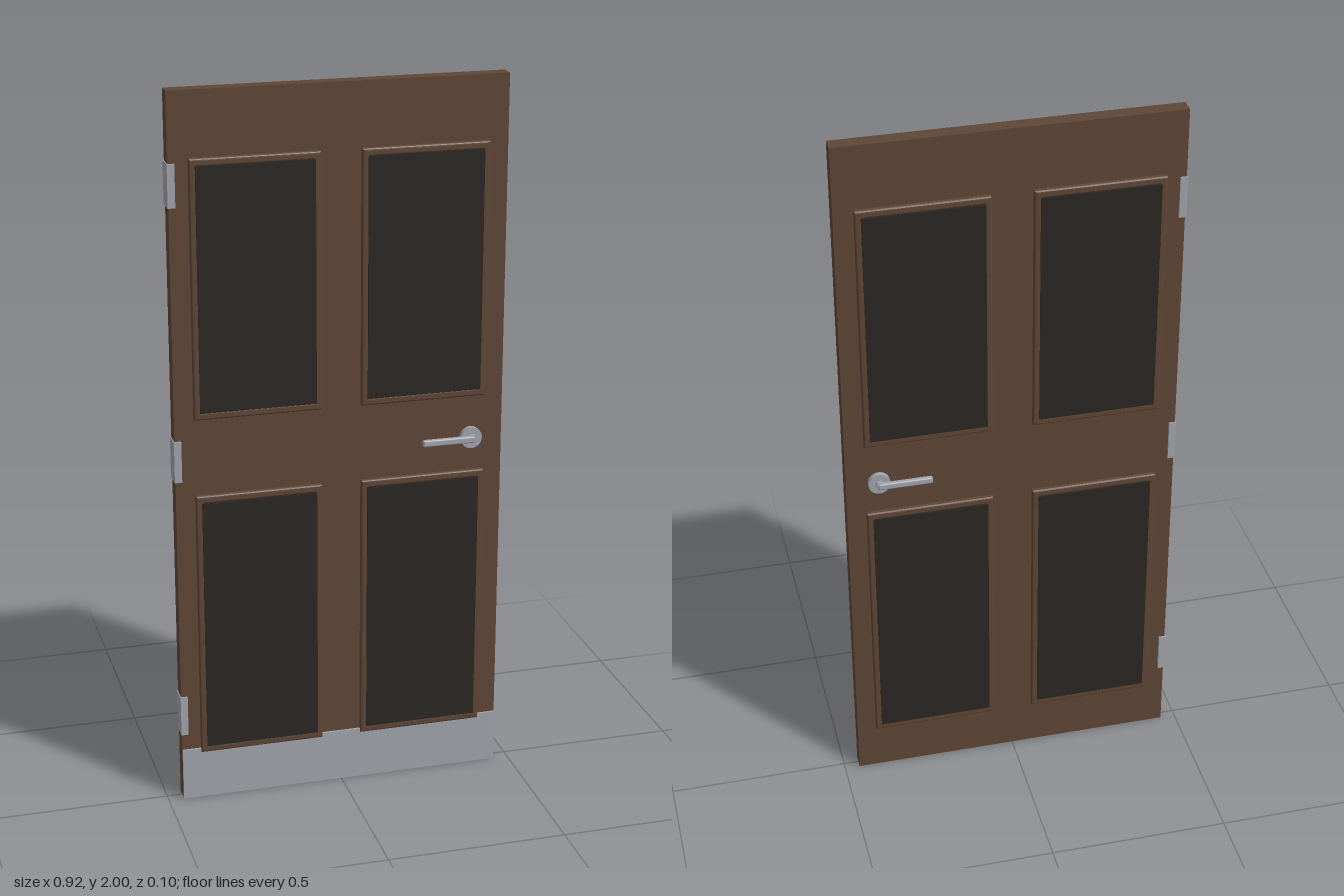
import * as THREE from 'three';
import { RoundedBoxGeometry } from 'three/addons/geometries/RoundedBoxGeometry.js';

const wood = new THREE.MeshStandardMaterial({ color: 0x5e4636 });
const dark = new THREE.MeshStandardMaterial({ color: 0x2a2623 });
const metal = new THREE.MeshStandardMaterial({ color: 0xa0a3ab });

function add(parent, name, geometry, material, x = 0, y = 0, z = 0) {
  const mesh = new THREE.Mesh(geometry, material);
  mesh.name = name;
  mesh.position.set(x, y, z);
  parent.add(mesh);
  return mesh;
}

// Path of a rectangle centred on the origin
function rectangle(path, w, h) {
  path.moveTo(-w / 2, -h / 2);
  path.lineTo(w / 2, -h / 2);
  path.lineTo(w / 2, h / 2);
  path.lineTo(-w / 2, h / 2);
  path.closePath();
  return path;
}

// Rounded frame that shows on both faces of the door
function mouldingGeometry(w, h) {
  const bevel = 0.006, band = 0.022, halfDepth = 0.034;
  const shape = rectangle(new THREE.Shape(), w - 2 * bevel, h - 2 * bevel);
  shape.holes.push(rectangle(new THREE.Path(), w - 2 * band + 2 * bevel, h - 2 * band + 2 * bevel));
  const depth = 2 * (halfDepth - bevel);
  const geometry = new THREE.ExtrudeGeometry(shape, {
    depth, bevelEnabled: true, bevelSize: bevel, bevelThickness: bevel, bevelSegments: 4,
  });
  return geometry.translate(0, 0, -depth / 2);
}

// Rosette, neck and lever for one face
function createHandle(side) {
  const handle = new THREE.Group();
  handle.name = side > 0 ? 'frontHandle' : 'backHandle';
  const rosette = new THREE.CylinderGeometry(0.03, 0.03, 0.014, 32).rotateX(Math.PI / 2);
  const neck = new THREE.CylinderGeometry(0.012, 0.012, 0.03, 24).rotateX(Math.PI / 2);
  add(handle, 'rosette', rosette, metal, 0, 0, side * 0.028);
  add(handle, 'neck', neck, metal, 0, 0, side * 0.034);
  add(handle, 'lever', new RoundedBoxGeometry(0.15, 0.019, 0.015, 3, 0.005), metal,
    -0.068, 0, side * 0.045);
  handle.position.set(0.368, 1, 0);
  return handle;
}

export function createModel() {
  const door = new THREE.Group();
  door.name = 'door';

  add(door, 'slab', new THREE.BoxGeometry(0.915, 2, 0.042), wood, 0, 1, 0);
  add(door, 'kickPlate', new THREE.BoxGeometry(0.915, 0.15, 0.006), metal, 0, 0.075, 0.024);

  // Four framed panels, each passing through the slab
  for (const [bottom, top] of [[0.14, 0.905], [1.12, 1.825]]) {
    const height = top - bottom, y = (top + bottom) / 2;
    for (const side of [-1, 1]) {
      add(door, 'moulding', mouldingGeometry(0.35, height), wood, side * 0.23, y);
      add(door, 'panel', new THREE.BoxGeometry(0.318, height - 0.04, 0.075), dark, side * 0.23, y);
    }
  }

  // Hinges wrapped round the edge
  for (const y of [0.255, 1.005, 1.755]) {
    add(door, 'hinge', new THREE.BoxGeometry(0.02, 0.115, 0.053), metal, -0.45, y);
  }

  door.add(createHandle(1), createHandle(-1));
  return door;
}
